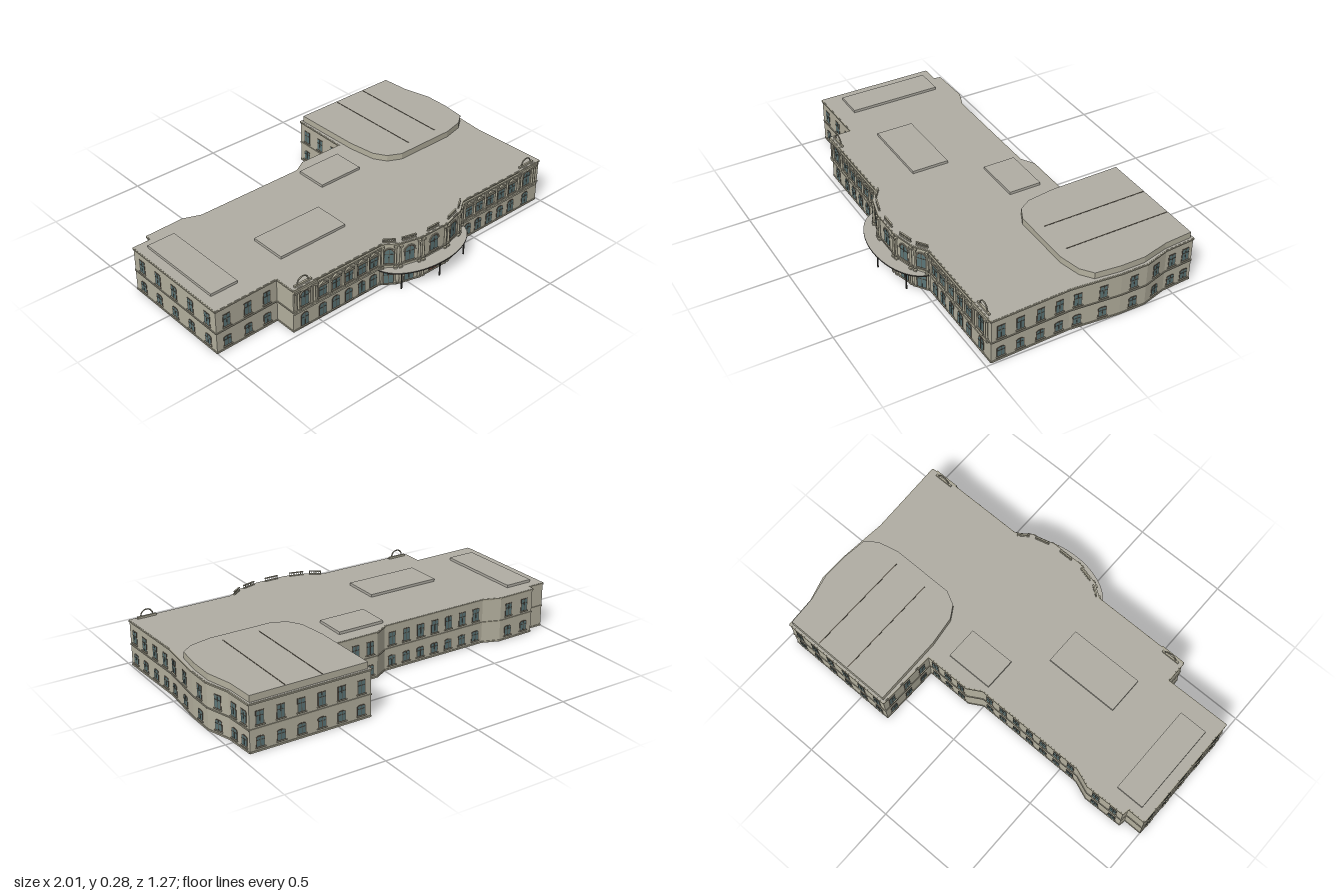
import * as THREE from 'three';

const mat = (name, color) => {
  const m = new THREE.MeshStandardMaterial({ color });
  m.name = name;
  return m;
};

export function createModel() {
  const wall = mat('stone wall', 0xb5b19f);
  const trim = mat('stone trim', 0xa9a592);
  const roof = mat('roof', 0xb1aea4);
  const glass = mat('window glass', 0x5c7678);
  const frame = mat('window frame', 0x5c564c);
  const door = mat('door', 0x74483a);
  const metal = mat('dark metal', 0x3c3a36);

  const model = new THREE.Group();
  model.name = 'building';
  const add = (parent, name, geo, material, x = 0, y = 0, z = 0) => {
    const m = new THREE.Mesh(geo, material);
    m.name = name;
    m.position.set(x, y, z);
    parent.add(m);
    return m;
  };
  const box = (parent, name, w, h, d, material, x, y, z) =>
    add(parent, name, new THREE.BoxGeometry(w, h, d), material, x, y, z);

  // Vertical prism from a plan outline of [x, z] points
  const prism = (name, pts, y0, y1, materials) => {
    const s = new THREE.Shape(pts.map(([x, z]) => new THREE.Vector2(x, -z)));
    const g = new THREE.ExtrudeGeometry(s, { depth: y1 - y0, bevelEnabled: false });
    g.rotateX(-Math.PI / 2);
    return add(model, name, g, materials, 0, y0, 0);
  };

  // Window outline standing on y = 0; rise is the height of the arched head
  const opening = (w, h, rise) => {
    const s = new THREE.Shape();
    s.moveTo(-w / 2, 0);
    s.lineTo(w / 2, 0);
    s.lineTo(w / 2, h - rise);
    if (rise > 0) s.absellipse(0, h - rise, w / 2, rise, 0, Math.PI, false);
    else s.lineTo(-w / 2, h);
    s.closePath();
    return s;
  };

  // Window with frame, panes, bars and sill, set flat on a wall group
  const addWindow = (parent, x, y, w, h, rise = 0, pane = glass) => {
    const g = new THREE.Group();
    g.name = 'window';
    g.position.set(x, y, 0);
    parent.add(g);
    const solid = (s, depth) =>
      new THREE.ExtrudeGeometry(s, { depth, bevelEnabled: false, curveSegments: 8 });
    add(g, 'windowFrame', solid(opening(w, h, rise), 0.002), frame);
    const inner = opening(w - 0.008, h - 0.008, Math.max(0, rise - 0.002));
    add(g, 'windowPane', new THREE.ShapeGeometry(inner, 8), pane, 0, 0.004, 0.0028);
    box(g, 'mullion', 0.003, h - 0.006, 0.002, frame, 0, h / 2, 0.003);
    box(g, 'transom', w - 0.006, 0.0025, 0.002, frame, 0, h * 0.64, 0.003);
    box(g, 'sill', w + 0.008, 0.004, 0.007, trim, 0, -0.002, 0.0035);
    return g;
  };

  // Column with base and capital
  const addColumn = (parent, x, y0, y1, r, z = 0.005, material = trim) => {
    add(parent, 'columnShaft', new THREE.CylinderGeometry(r * 0.85, r, y1 - y0, 10), material, x, (y0 + y1) / 2, z);
    box(parent, 'columnBase', r * 2.6, 0.008, r * 2.6, trim, x, y0 + 0.004, z);
    box(parent, 'columnCapital', r * 2.7, 0.009, r * 2.7, trim, x, y1 - 0.0045, z);
  };

  // Plan outline, running along the front to the right, then round the back
  const H = 0.24;
  const bow = [[-0.12, 0.47], [-0.05, 0.52], [0.07, 0.552], [0.24, 0.552], [0.36, 0.52], [0.43, 0.47]];
  const plan = [
    [-1, 0.36], [-0.65, 0.355], [-0.65, 0.47], ...bow,
    [0.99, 0.47], [0.975, 0.06], [0.998, -0.2], [0.998, -0.34], [0.96, -0.47], [0.95, -0.63],
    [0.325, -0.63], [0.32, -0.31], [0.07, -0.31], [0, -0.27], [-0.6, -0.27],
    [-0.69, -0.305], [-0.9, -0.3], [-0.905, -0.265], [-1, -0.265],
  ];
  prism('mainBlock', plan, 0, H, [roof, wall]);

  // A group for every wall face: local x runs along the wall, z points out
  const walls = plan.map((a, i) => {
    const b = plan[(i + 1) % plan.length];
    const dx = b[0] - a[0], dz = b[1] - a[1];
    const g = new THREE.Group();
    g.name = 'wallFace';
    g.position.set((a[0] + b[0]) / 2, 0, (a[1] + b[1]) / 2);
    g.rotation.y = Math.atan2(-dz, dx);
    model.add(g);
    const L = Math.hypot(dx, dz);
    box(g, 'plinth', L, 0.008, 0.004, trim, 0, 0.004, 0.001);
    box(g, 'stringCourse', L + 0.003, 0.006, 0.006, trim, 0, 0.113, 0.001);
    box(g, 'cornice', L + 0.003, 0.007, 0.008, trim, 0, H - 0.0045, 0.001);
    return { g, L };
  });

  // Plain two-storey windows: positions measured from each wall's middle
  const plainBays = (i, xs) => xs.forEach((x) => {
    addWindow(walls[i].g, x, 0.022, 0.044, 0.054, 0.008);
    addWindow(walls[i].g, x, 0.13, 0.042, 0.068);
  });
  const spread = (i, n) =>
    plainBays(i, Array.from({ length: n }, (_, k) => ((k + 0.5) / n - 0.5) * walls[i].L));
  plainBays(0, [-0.115, 0.005, 0.115]);
  plainBays(9, [-0.155, -0.055, 0.05, 0.15]);
  plainBays(10, [-0.09, 0.04]);
  spread(11, 1);
  spread(12, 1);
  spread(13, 2);
  spread(14, 6);
  spread(15, 3);
  spread(16, 3);
  spread(18, 7);
  spread(20, 2);
  spread(23, 5);

  // Ornate front: two mirrored wings about the bow's centre line
  const cx = 0.16;
  const front = new THREE.Group();
  front.name = 'frontFacade';
  front.position.set(cx, 0, 0.47);
  model.add(front);
  for (const s of [-1, 1]) {
    for (const d of [0.635, 0.555, 0.475, 0.395, 0.32]) {
      addWindow(front, s * d, 0.012, 0.046, 0.07, 0.014);
      addWindow(front, s * d, 0.125, 0.05, 0.056);
      box(front, 'windowHead', 0.058, 0.006, 0.009, trim, s * d, 0.187, 0.0045);
      const hood = new THREE.Shape([[-0.029, 0], [0.029, 0], [0, 0.014]].map((p) => new THREE.Vector2(...p)));
      add(front, 'pediment', new THREE.ExtrudeGeometry(hood, { depth: 0.009, bevelEnabled: false }),
        trim, s * d, 0.196, 0);
    }
    for (const d of [0.678, 0.595, 0.515, 0.435, 0.358, 0.288])
      addColumn(front, s * d, 0.116, 0.218, 0.006);

    // End pavilions with a tall arched window, paired columns and a roof arch
    const px = s * 0.743;
    addWindow(front, px, 0.012, 0.046, 0.072, 0.018);
    addWindow(front, px, 0.125, 0.05, 0.084, 0.025);
    const arch = new THREE.TorusGeometry(0.03, 0.004, 6, 14, Math.PI);
    add(front, 'windowArch', arch, trim, px, 0.184, 0.003);
    for (const t of [-1, 1]) {
      addColumn(front, px + t * 0.039, 0.116, 0.226, 0.006);
      addColumn(front, px + t * 0.055, 0.116, 0.226, 0.006);
    }
    box(front, 'pavilionEntablature', 0.135, 0.012, 0.014, trim, px, 0.23, 0.005);
    box(front, 'roofArchBase', 0.1, 0.012, 0.01, trim, px, 0.244, -0.012);
    add(front, 'roofArch', new THREE.TorusGeometry(0.032, 0.0035, 6, 16, Math.PI), trim, px, 0.249, -0.012);
    box(front, 'balconyLedge', 0.54, 0.01, 0.012, trim, s * 0.54, 0.108, 0.005);
    box(front, 'frieze', 0.54, 0.008, 0.01, trim, s * 0.54, 0.222, 0.004);
  }

  // Bow front: one bay per facet, each topped by a short balustrade
  for (let i = 3; i <= 7; i++) {
    const { g, L } = walls[i];
    const w = Math.min(0.054, L * 0.6);
    addWindow(g, 0, 0.008, w, 0.08, 0.016, i === 5 ? door : glass);
    addWindow(g, 0, 0.125, w, 0.084, w / 2);
    add(g, 'windowArch', new THREE.TorusGeometry(w / 2 + 0.004, 0.003, 6, 12, Math.PI), trim, 0, 0.209 - w / 2, 0.002);
    const r = Math.min(0.038, L * 0.36);
    for (const y of [0.243, 0.258]) box(g, 'balustradeRail', r * 2, 0.004, 0.008, trim, 0, y, -0.01);
    for (let k = -3; k <= 3; k++)
      add(g, 'baluster', new THREE.CylinderGeometry(0.002, 0.002, 0.014, 6), trim, (k * r) / 3.2, 0.25, -0.01);
    for (const s of [-1, 1]) {
      const x = s * (L / 2 - 0.012);
      addColumn(g, x, 0.008, 0.108, 0.006);
      addColumn(g, x, 0.118, 0.228, 0.006);
    }
  }

  // Crescent entrance canopy on slim posts
  const rim = [];
  for (let k = 0; k <= 24; k++) {
    const a = Math.PI * (1 - k / 24);
    rim.push([0.15 + 0.283 * Math.cos(a), 0.465 + 0.163 * Math.sin(a)]);
  }
  prism('canopy', rim, 0.093, 0.1, [roof, metal]);
  for (const [x, z] of [[-0.06, 0.56], [0.15, 0.605], [0.36, 0.56]])
    add(model, 'canopyPost', new THREE.CylinderGeometry(0.004, 0.004, 0.094, 8), metal, x, 0.047, z);

  // Raised hall roof with seams
  prism('hallRoof', [
    [0.335, -0.62], [0.94, -0.62], [0.95, -0.47], [0.985, -0.33], [0.985, -0.2], [0.97, -0.07],
    [0.91, -0.025], [0.8, 0], [0.47, 0], [0.4, -0.035], [0.36, -0.1], [0.34, -0.25],
  ], H, 0.273, [roof, wall]);
  for (const x of [0.57, 0.76]) box(model, 'roofSeam', 0.005, 0.003, 0.56, frame, x, 0.273, -0.335);

  // Low roof platforms: x, z, width, depth
  for (const [x, z, w, d] of [[-0.875, 0.022, 0.15, 0.485], [-0.345, 0.158, 0.395, 0.195], [0.115, -0.155, 0.25, 0.17]])
    box(model, 'roofPlatform', w, 0.014, d, roof, x, H + 0.007, z);

  return model;
}
